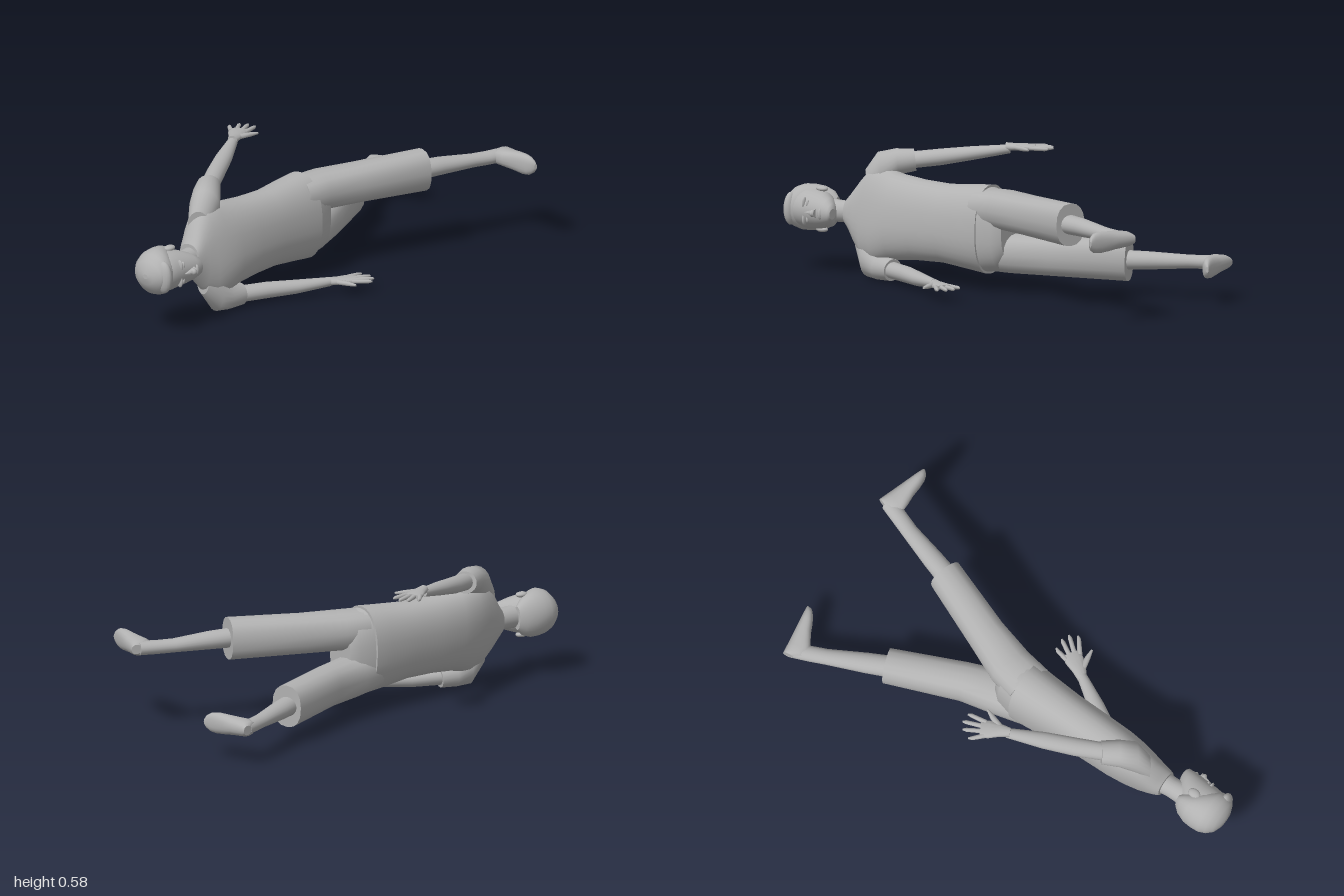
import * as THREE from 'three';

const grey = new THREE.MeshStandardMaterial({ color: 0xb2b2b2 });
grey.name = 'plain grey';

const V = (x, y, z) => new THREE.Vector3(x, y, z);

// Closed smooth tube through elliptical sections [x, y, z, radiusSide, radiusUp, tilt],
// all cut at right angles to one direction, with crisp end caps.
function loft(sections, { dir, sides = 20, power = 1 } = {}) {
  const last = sections.length - 1;
  const t = dir ? dir.clone() : V(...sections[last]).sub(V(...sections[0]));
  t.normalize();
  const side0 = V(0, 1, 0).cross(t).normalize();
  const up0 = t.clone().cross(side0);
  const pos = [], idx = [];
  const bend = (v) => Math.sign(v) * Math.abs(v) ** power;
  const ring = ([x, y, z, ru, rv, tilt = 0]) => {
    const side = side0.clone().applyAxisAngle(t, tilt);
    const up = up0.clone().applyAxisAngle(t, tilt);
    for (let i = 0; i < sides; i++) {
      const a = (i / sides) * Math.PI * 2;
      const p = V(x, y, z).addScaledVector(side, bend(Math.cos(a)) * ru)
        .addScaledVector(up, bend(Math.sin(a)) * rv);
      pos.push(p.x, p.y, p.z);
    }
  };
  sections.forEach(ring);
  for (let j = 0; j < last; j++) {
    for (let i = 0; i < sides; i++) {
      const k = (i + 1) % sides;
      const a = j * sides + i, b = j * sides + k;
      idx.push(a, b, a + sides, b, b + sides, a + sides);
    }
  }
  for (const [s, flip] of [[sections[0], true], [sections[last], false]]) {
    const base = pos.length / 3;
    ring(s);
    pos.push(s[0], s[1], s[2]);
    for (let i = 0; i < sides; i++) {
      const a = base + i, b = base + ((i + 1) % sides);
      idx.push(base + sides, flip ? b : a, flip ? a : b);
    }
  }
  const g = new THREE.BufferGeometry();
  g.setAttribute('position', new THREE.Float32BufferAttribute(pos, 3));
  g.setIndex(idx);
  g.computeVertexNormals();
  return g;
}

function add(parent, name, geometry) {
  const m = new THREE.Mesh(geometry, grey);
  m.name = name;
  parent.add(m);
  return m;
}

function blob(parent, name, center, radii) {
  const m = add(parent, name, new THREE.SphereGeometry(1, 18, 12));
  m.position.set(...center);
  m.scale.set(...radii);
  return m;
}

// Flat open hand; d points to the fingertips and s to the thumb
function hand(parent, wx, y, wz, dx, dz) {
  const g = new THREE.Group();
  g.name = 'hand';
  const at = (along, across, ...r) =>
    [wx + dx * along - dz * across, y, wz + dz * along + dx * across, ...r];
  const d = V(dx, 0, dz);
  add(g, 'palm', loft([
    at(-0.02, 0, 0.02, 0.018), at(0.025, 0.003, 0.03, 0.015),
    at(0.07, 0, 0.04, 0.014), at(0.105, 0, 0.038, 0.01)], { dir: d, sides: 12 }));
  [[0.03, 0.055, 0.165], [0.01, 0.021, 0.183], [-0.01, -0.014, 0.178], [-0.03, -0.05, 0.15]]
    .forEach(([b, e, l]) => add(g, 'finger', loft([
      at(0.085, b, 0.011, 0.01), at(l - 0.015, e * 0.9 + b * 0.1, 0.009, 0.008),
      at(l, e, 0.004, 0.004)], { sides: 8 })));
  add(g, 'thumb', loft([
    at(0.02, 0.012, 0.015, 0.012), at(0.06, 0.055, 0.012, 0.01),
    at(0.085, 0.085, 0.005, 0.005)], { sides: 8 }));
  parent.add(g);
}

// Foot with a flat sole, from heel to toe
function foot(parent, hx, y, hz, dx, dz) {
  const rows = [[0, 0.022, 0.02], [0.015, 0.042, 0.031], [0.045, 0.05, 0.036], [0.085, 0.043, 0.038],
    [0.125, 0.034, 0.042], [0.17, 0.027, 0.045], [0.2, 0.021, 0.041], [0.22, 0.014, 0.028], [0.228, 0.006, 0.012]];
  add(parent, 'foot', loft(rows.map(([t, h, w]) =>
    [hx + dx * t - dz * h, y, hz + dz * t + dx * h, h, w]),
  { dir: V(dx, 0, dz), power: 0.85 }));
}

export function createModel() {
  const root = new THREE.Group();
  root.name = 'lyingFigure';
  const Z = V(0, 0, 1);

  // Shirt, from hem to collar
  add(root, 'shirt', loft([
    [-0.053, 0.262, -0.02, 0.118, 0.188, 0.04], [-0.055, 0.263, 0.06, 0.114, 0.18, 0.05],
    [-0.052, 0.265, 0.2, 0.104, 0.166, 0.08], [-0.05, 0.267, 0.34, 0.102, 0.17, 0.12],
    [-0.05, 0.268, 0.46, 0.1, 0.182, 0.15], [-0.05, 0.268, 0.54, 0.092, 0.205, 0.18],
    [-0.05, 0.268, 0.6, 0.08, 0.195, 0.18], [-0.05, 0.268, 0.645, 0.07, 0.14, 0.18],
    [-0.048, 0.268, 0.68, 0.062, 0.085, 0.15], [-0.046, 0.267, 0.7, 0.054, 0.06, 0.1]],
  { dir: Z, sides: 32, power: 0.88 }));

  // Trousers
  add(root, 'trouserSeat', loft([
    [-0.05, 0.26, -0.125, 0.07, 0.12], [-0.05, 0.26, -0.09, 0.1, 0.165],
    [-0.052, 0.262, 0, 0.112, 0.182]], { dir: Z, sides: 32, power: 0.85 }));
  add(root, 'leftTrouserLeg', loft([
    [-0.05, 0.355, 0, 0.1, 0.08], [-0.03, 0.357, -0.11, 0.096, 0.083],
    [0.025, 0.357, -0.27, 0.082, 0.084], [0.14, 0.36, -0.57, 0.072, 0.09]], { sides: 16, power: 0.85 }));
  add(root, 'rightTrouserLeg', loft([
    [-0.058, 0.168, 0, 0.098, 0.08], [-0.09, 0.166, -0.11, 0.094, 0.085],
    [-0.14, 0.163, -0.27, 0.08, 0.085], [-0.27, 0.157, -0.574, 0.07, 0.09]], { sides: 16, power: 0.85 }));

  // Bare shins and feet
  add(root, 'leftShin', loft([
    [0.13, 0.362, -0.53, 0.047, 0.042], [0.165, 0.36, -0.65, 0.044, 0.038],
    [0.21, 0.353, -0.8, 0.035, 0.029], [0.235, 0.352, -0.87, 0.035, 0.029],
    [0.262, 0.354, -0.945, 0.036, 0.03]]));
  foot(root, 0.252, 0.355, -0.988, 0.95, 0.312);
  add(root, 'rightShin', loft([
    [-0.255, 0.157, -0.54, 0.047, 0.042], [-0.31, 0.157, -0.65, 0.044, 0.038],
    [-0.385, 0.157, -0.8, 0.034, 0.029], [-0.415, 0.157, -0.865, 0.034, 0.029],
    [-0.44, 0.158, -0.925, 0.034, 0.03]]));
  foot(root, -0.477, 0.158, -0.957, 0.985, -0.172);

  // Sleeves and arms
  add(root, 'leftSleeve', loft([
    [-0.06, 0.39, 0.625, 0.045, 0.06], [-0.075, 0.45, 0.57, 0.064, 0.078],
    [-0.115, 0.487, 0.51, 0.058, 0.056], [-0.158, 0.495, 0.448, 0.05, 0.047]], { dir: V(-0.62, 0.1, -0.78) }));
  add(root, 'leftArm', loft([
    [-0.14, 0.493, 0.47, 0.038, 0.036], [-0.205, 0.51, 0.35, 0.039, 0.035],
    [-0.265, 0.53, 0.23, 0.036, 0.029], [-0.335, 0.552, 0.09, 0.021, 0.019]]));
  hand(root, -0.337, 0.562, 0.085, -0.47, -0.883);
  add(root, 'rightSleeve', loft([
    [-0.035, 0.15, 0.625, 0.045, 0.06], [-0.015, 0.085, 0.57, 0.062, 0.078],
    [-0.002, 0.056, 0.51, 0.055, 0.054], [0.012, 0.052, 0.44, 0.048, 0.047]], { dir: V(0.25, -0.1, -1) }));
  add(root, 'rightArm', loft([
    [0.005, 0.052, 0.46, 0.038, 0.035], [0.06, 0.05, 0.33, 0.039, 0.034],
    [0.125, 0.05, 0.22, 0.035, 0.029], [0.2, 0.055, 0.09, 0.021, 0.019]]));
  hand(root, 0.2, 0.056, 0.085, 0.53, -0.848);

  // Neck and head, facing +x
  add(root, 'neck', loft([
    [-0.046, 0.266, 0.66, 0.048, 0.05], [-0.042, 0.265, 0.73, 0.043, 0.046],
    [-0.035, 0.265, 0.82, 0.05, 0.05]], { dir: Z }));
  const head = new THREE.Group();
  head.name = 'head';
  root.add(head);
  add(head, 'face', loft([
    [0.035, 0.262, 0.733, 0.022, 0.022], [0.028, 0.262, 0.742, 0.038, 0.042],
    [0.008, 0.263, 0.77, 0.06, 0.06], [-0.015, 0.264, 0.81, 0.081, 0.075],
    [-0.027, 0.265, 0.85, 0.09, 0.082], [-0.03, 0.265, 0.89, 0.092, 0.086],
    [-0.03, 0.265, 0.94, 0.085, 0.08], [-0.03, 0.265, 0.975, 0.06, 0.055]], { dir: Z, sides: 28 }));
  add(head, 'hair', loft([
    [-0.075, 0.265, 0.785, 0.022, 0.05], [-0.074, 0.265, 0.81, 0.044, 0.076],
    [-0.068, 0.265, 0.85, 0.066, 0.092], [-0.05, 0.266, 0.89, 0.088, 0.098],
    [-0.038, 0.267, 0.925, 0.098, 0.097], [-0.032, 0.267, 0.955, 0.092, 0.086],
    [-0.03, 0.267, 0.98, 0.072, 0.062], [-0.03, 0.267, 0.993, 0.042, 0.036],
    [-0.03, 0.267, 0.998, 0.012, 0.01]], { dir: Z, sides: 28 }));
  blob(head, 'fringe', [0.03, 0.266, 0.95], [0.042, 0.07, 0.026]);
  const nose = add(head, 'nose', new THREE.ConeGeometry(0.019, 0.06, 8));
  nose.position.set(0.066, 0.263, 0.828);
  nose.rotation.set(Math.PI / 2, 0, 0);
  blob(head, 'noseTip', [0.071, 0.263, 0.81], [0.017, 0.015, 0.012]);
  blob(head, 'lips', [0.062, 0.262, 0.778], [0.012, 0.024, 0.009]);
  for (const s of [-1, 1]) {
    blob(head, 'brow', [0.048, 0.264 + s * 0.034, 0.868], [0.016, 0.026, 0.007]);
    blob(head, 'eye', [0.05, 0.264 + s * 0.033, 0.85], [0.01, 0.016, 0.007]);
    blob(head, 'ear', [-0.035, 0.265 + s * 0.086, 0.838], [0.02, 0.012, 0.028]);
  }
  return root;
}
